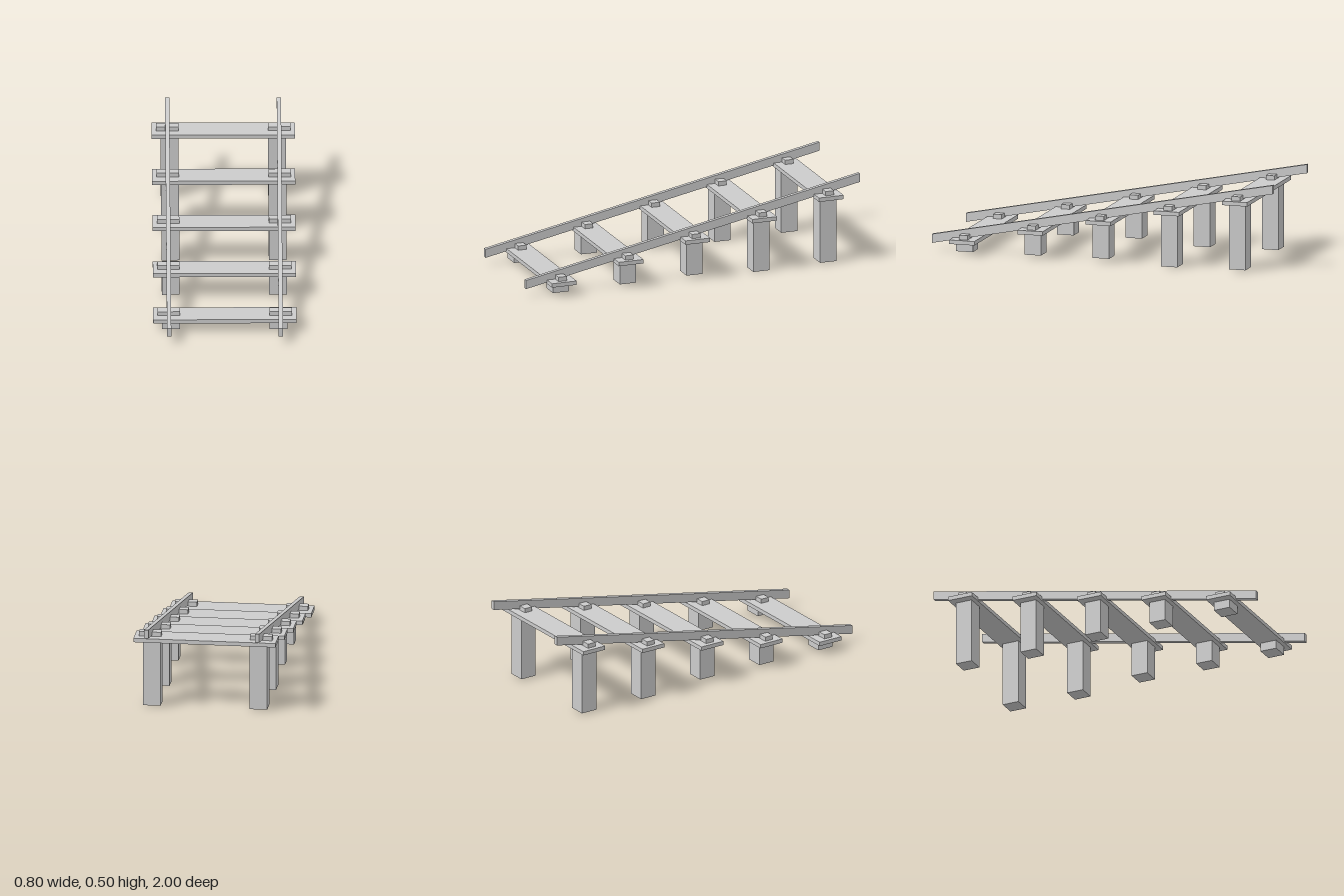
import * as THREE from 'three';

const material = new THREE.MeshStandardMaterial({ color: 0xcccccc, flatShading: true });
const SLOPE = 0.2; // rise per unit towards the back

function addBox(parent, name, [w, h, d], [x, y, z]) {
  const mesh = new THREE.Mesh(new THREE.BoxGeometry(w, h, d), material);
  mesh.name = name;
  mesh.position.set(x, y, z);
  parent.add(mesh);
  return mesh;
}

export function createModel() {
  const model = new THREE.Group();
  model.name = 'slopedTrack';

  // Foot heights of the post pairs, front to back
  const feet = [0.013, 0.018, 0.024, 0, 0.008];

  feet.forEach((foot, i) => {
    const z = 0.8 - 0.4 * i;
    const bottom = 0.062 + 0.08 * i;
    const top = bottom + 0.023;
    const support = new THREE.Group();
    support.name = `support${i + 1}`;

    // Cross plank with a post and a rail clamp at each end
    addBox(support, 'sleeper', [0.8, 0.023, 0.148], [0, (bottom + top) / 2, z]);
    for (const [side, s] of [['left', 1], ['right', -1]]) {
      addBox(support, `${side}Post`, [0.1, bottom - foot, 0.097], [s * 0.3, (bottom + foot) / 2, z]);
      addBox(support, `${side}Clamp`, [0.125, 0.025, 0.05], [s * 0.3125, top + 0.0125, z]);
    }
    model.add(support);
  });

  // Rails: long bars sheared up the slope, keeping their ends vertical
  for (const [side, s] of [['left', 1], ['right', -1]]) {
    const rail = addBox(model, `${side}Rail`, [0.024, 0.05, 2], [s * 0.312, 0.271, 0]);
    const p = rail.geometry.attributes.position;
    for (let i = 0; i < p.count; i++) p.setY(i, p.getY(i) - SLOPE * p.getZ(i));
    rail.geometry.computeVertexNormals();
  }

  return model;
}
